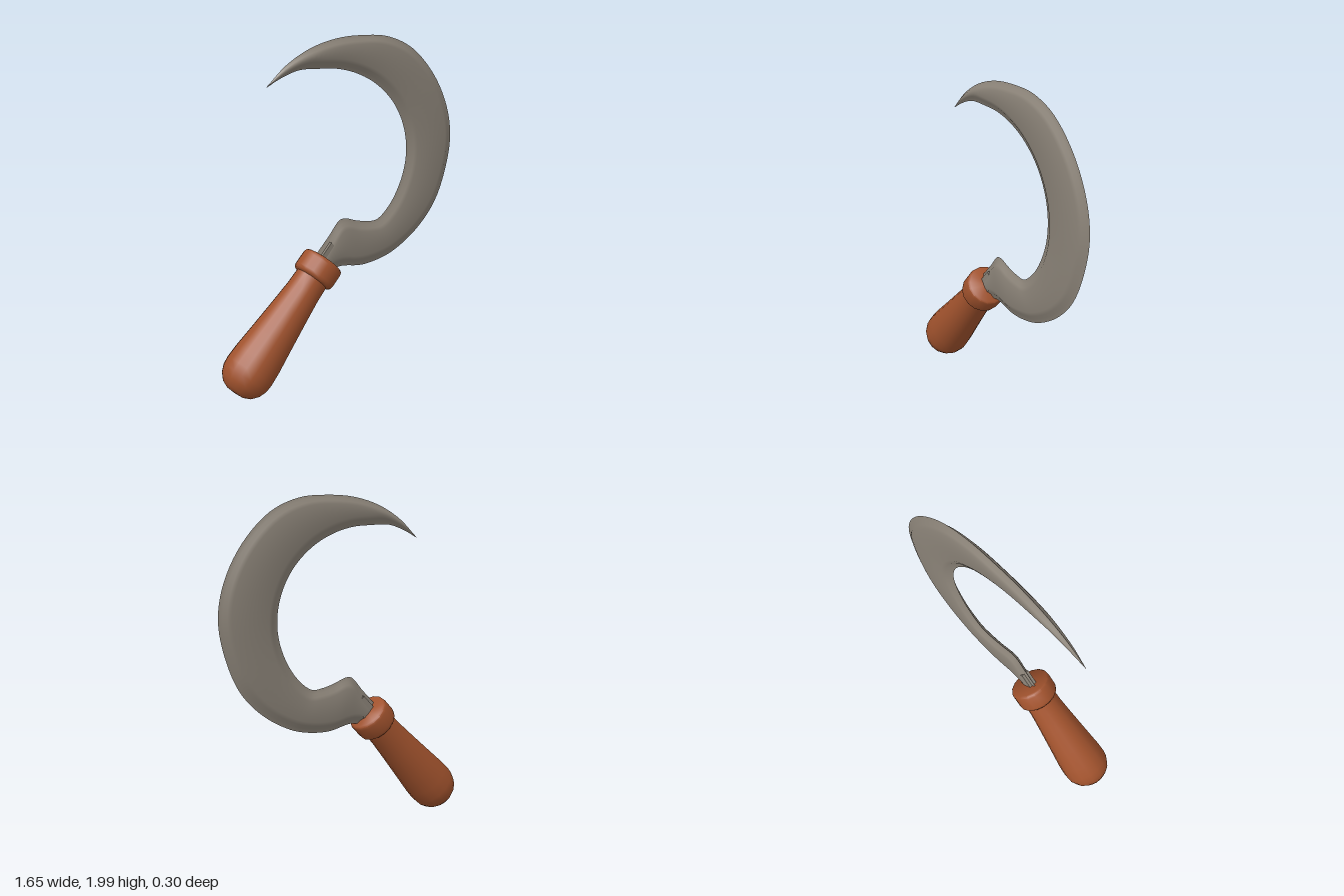
import * as THREE from 'three';
import { toCreasedNormals } from 'three/addons/utils/BufferGeometryUtils.js';

const steel = new THREE.MeshStandardMaterial({ color: 0x8b8378 });
steel.name = 'steel';
const wood = new THREE.MeshStandardMaterial({ color: 0xa0522d });
wood.name = 'wood';

// Creases are found at a larger scale so that fine edges stay separate.
function crease(geometry, angle) {
  geometry.scale(50, 50, 50);
  const g = toCreasedNormals(geometry, angle);
  return g.scale(0.02, 0.02, 0.02);
}

function part(name, geometry, material) {
  const mesh = new THREE.Mesh(geometry, material);
  mesh.name = name;
  return mesh;
}

// Blade stations from handle to tip: inner x, inner y, outer x, outer y
const stations = [
  [-0.22, 0.75, -0.11, 0.65], [-0.115, 0.86, -0.035, 0.663], [-0.04, 0.942, 0.025, 0.657],
  [0, 0.949, 0.07, 0.648], [0.087, 0.923, 0.145, 0.642], [0.167, 0.907, 0.272, 0.658],
  [0.241, 0.907, 0.389, 0.695], [0.336, 0.981, 0.563, 0.801], [0.415, 1.103, 0.706, 0.955],
  [0.458, 1.236, 0.796, 1.172], [0.46, 1.368, 0.825, 1.368], [0.421, 1.501, 0.786, 1.554],
  [0.341, 1.623, 0.675, 1.75], [0.22, 1.724, 0.5, 1.914], [0.087, 1.787, 0.315, 1.987],
  [-0.045, 1.819, 0.124, 2], [-0.177, 1.826, -0.056, 1.987], [-0.31, 1.824, -0.23, 1.94],
  [-0.426, 1.787, -0.389, 1.856], [-0.518, 1.742, -0.517, 1.746],
];

// Each cross-section has a thin lip, a steep step and a flat middle.
function bladeGeometry() {
  const curve = (k) => new THREE.CatmullRomCurve3(
    stations.map((s) => new THREE.Vector3(s[k], s[k + 1], 0)));
  const inner = curve(0), outer = curve(2);
  const steps = 95, rim = [[0.025, 0.007], [0.045, 0.021], [0.068, 0.028]];
  const pos = [], index = [];
  for (let i = 0; i <= steps; i++) {
    const a = inner.getPoint(i / steps), b = outer.getPoint(i / steps);
    const width = a.distanceTo(b), s = Math.min(1, width / 0.16);
    const half = [
      ...rim.map(([d, z]) => [d * s / width, z * s]),
      ...rim.map(([d, z]) => [1 - d * s / width, z * s]).reverse(),
    ];
    const ring = [[0, 0], ...half, [1, 0], ...half.map(([u, z]) => [u, -z]).reverse()];
    for (const [u, z] of ring) {
      const p = a.clone().lerp(b, u);
      pos.push(p.x, p.y, z);
    }
    const n = ring.length;
    if (i < steps) for (let j = 0; j < n; j++) {
      const p = i * n + j, q = i * n + (j + 1) % n;
      index.push(p, q, q + n, p, q + n, p + n);
    }
  }
  const g = new THREE.BufferGeometry();
  g.setAttribute('position', new THREE.Float32BufferAttribute(pos, 3));
  g.setIndex(index);
  return crease(g, 0.75);
}

function lathe(profile) {
  return crease(new THREE.LatheGeometry(profile.map(([r, y]) => new THREE.Vector2(r, y)), 16), 0.7);
}

export function createModel() {
  const model = new THREE.Group();
  model.name = 'sickle';
  model.add(part('blade', bladeGeometry(), steel));

  // Handle assembly, built upright around the centre of its round end
  const handle = new THREE.Group();
  handle.name = 'handle';
  handle.position.set(-0.68, 0.15, 0);
  handle.rotation.z = -0.749;
  handle.add(part('grip', lathe([
    [0, -0.128], [0.055, -0.124], [0.095, -0.106], [0.128, -0.07], [0.146, -0.025], [0.15, 0.02],
    [0.146, 0.1], [0.132, 0.24], [0.115, 0.42], [0.103, 0.56], [0.1, 0.67],
  ]), wood));
  handle.add(part('collar', lathe([
    [0.09, 0.645], [0.115, 0.65], [0.125, 0.66], [0.128, 0.675],
    [0.128, 0.755], [0.124, 0.77], [0.114, 0.778], [0, 0.778],
  ]), wood));

  // Tang joining blade and collar
  const tang = part('tang', new THREE.BoxGeometry(0.09, 0.16, 0.05), steel);
  tang.position.set(0, 0.8, 0);
  handle.add(tang);
  model.add(handle);
  return model;
}
